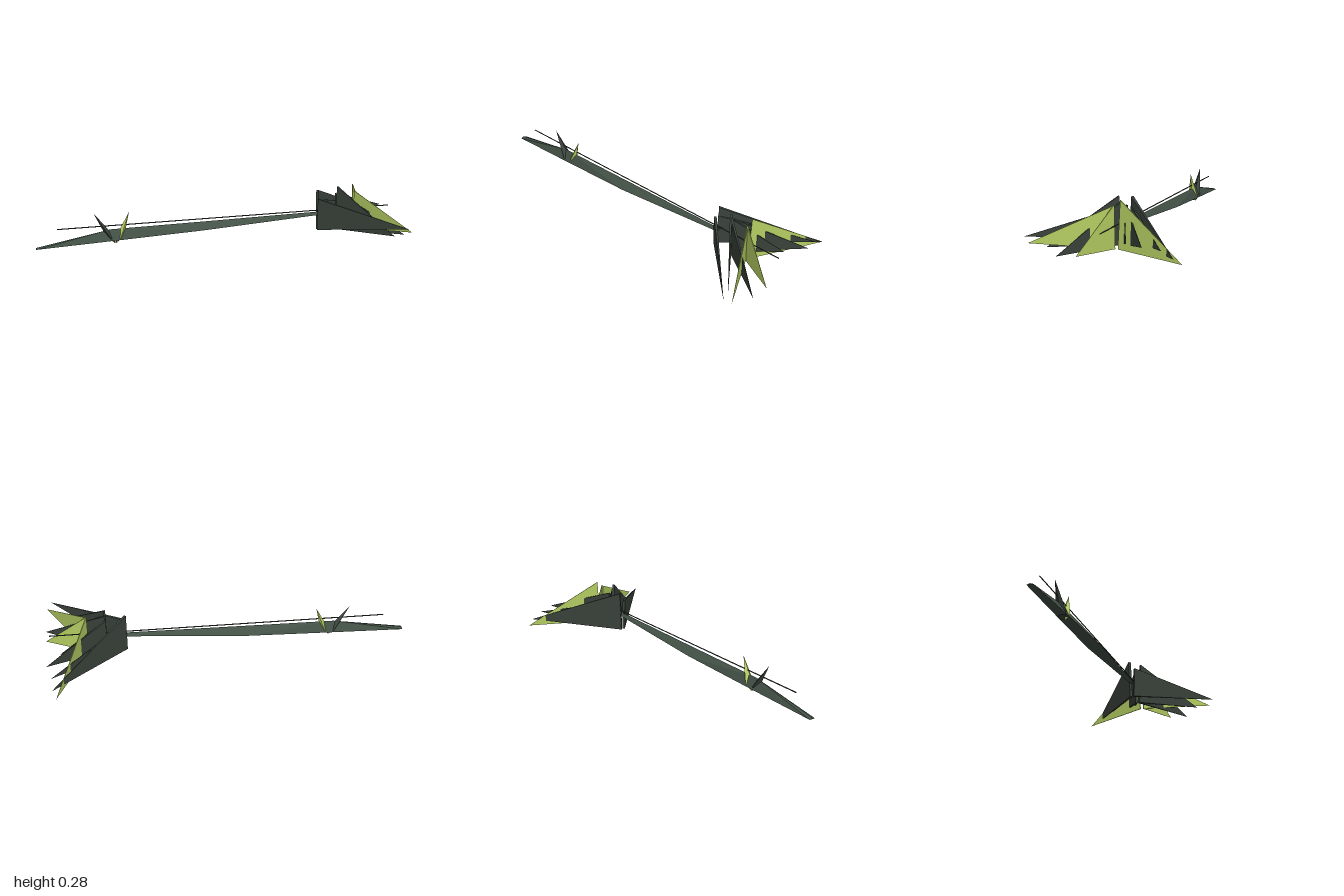
import * as THREE from 'three';
import { ConvexGeometry } from 'three/addons/geometries/ConvexGeometry.js';

const V = (x, y, z) => new THREE.Vector3(x, y, z);

export function createModel() {
  const group = new THREE.Group();
  const material = (name, color) => {
    const m = new THREE.MeshStandardMaterial({ color });
    m.name = name;
    return m;
  };
  const shaftGreen = material('shaftGreen', 0x435146);
  const darkGreen = material('darkGreen', 0x3a433b);
  const lime = material('lime', 0xb5ce63);

  const add = (name, geometry, mat) => {
    const mesh = new THREE.Mesh(geometry, mat);
    mesh.name = name;
    group.add(mesh);
    return mesh;
  };

  // Shaft: ridged triangular sections [x, bottom, ridge, half width]
  const sections = [
    [-1, 0, 0.006, 0.017],
    [-0.6, 0.031, 0.09, 0.028],
    [-0.1, 0.07, 0.11, 0.04],
    [0.57, 0.122, 0.138, 0.012],
  ];
  const corners = ([x, b, t, w]) => [V(x, b, -w), V(x, b, w), V(x, t, 0)];
  for (let i = 0; i < sections.length - 1; i++) {
    const points = [...corners(sections[i]), ...corners(sections[i + 1])];
    add('shaftSection' + (i + 1), new ConvexGeometry(points), shaftGreen);
  }

  // Thin cord running above the shaft
  const from = V(-0.885, 0.102, 0), to = V(0.965, 0.158, 0);
  const cord = add('cord', new THREE.CylinderGeometry(0.003, 0.003, from.distanceTo(to), 6), darkGreen);
  cord.position.copy(from).lerp(to, 0.5);
  cord.quaternion.setFromUnitVectors(V(0, 1, 0), to.clone().sub(from).normalize());

  // Pair of small spikes: pointed foot, wide shoulders, long tip
  const spike = (name, footX, midX, tipX, tipY, mat) => add(name, new ConvexGeometry([
    V(footX, 0.013, 0.01), V(footX, 0.013, -0.01),
    V(midX, 0.045, 0.028), V(midX, 0.045, -0.028),
    V(midX - 0.022, 0.05, 0), V(midX + 0.022, 0.05, 0),
    V(tipX, tipY, 0),
  ]), mat);
  spike('darkSpike', -0.575, -0.6, -0.69, 0.183, darkGreen);
  spike('limeSpike', -0.57, -0.548, -0.498, 0.183, lime);

  // Fan blade: thick upright root tapering to a sharp outer tip
  const blade = (name, rootX, rootZ, top, tip, thickness, mat) => {
    const end = V(...tip);
    const side = V(-(end.z - rootZ), 0, end.x - rootX).normalize().multiplyScalar(thickness / 2);
    const points = [end];
    for (const s of [-1, 1]) {
      points.push(V(rootX, top, rootZ).addScaledVector(side, s));
      points.push(V(rootX, 0.036, rootZ * 0.5).addScaledVector(side, s));
    }
    add(name, new ConvexGeometry(points), mat);
  };
  // [root x, root z, top y, tip, thickness, material]
  const left = [
    [0.555, 0.014, 0.212, [0.95, 0.113, 0.395], 0.014, darkGreen],
    [0.662, 0.018, 0.28, [0.9, 0.055, 0.303], 0.012, darkGreen],
    [0.662, 0.01, 0.25, [0.99, 0.038, 0.215], 0.012, darkGreen],
    [0.762, 0.01, 0.25, [0.975, 0.088, 0.365], 0.005, lime],
    [0.762, 0.006, 0.255, [0.99, 0.045, 0.113], 0.005, lime],
  ];
  const right = [
    [0.555, -0.014, 0.258, [0.97, 0.065, -0.362], 0.014, darkGreen],
    [0.555, -0.01, 0.207, [0.97, 0.1, -0.302], 0.012, darkGreen],
    [0.662, -0.014, 0.235, [0.99, 0.115, -0.215], 0.012, darkGreen],
    [0.662, -0.01, 0.232, [0.915, 0.11, -0.11], 0.01, darkGreen],
    [0.762, -0.028, 0.28, [0.95, 0.038, -0.397], 0.005, lime],
  ];
  left.forEach((b, i) => blade('leftBlade' + (i + 1), ...b));
  right.forEach((b, i) => blade('rightBlade' + (i + 1), ...b));

  return group;
}
